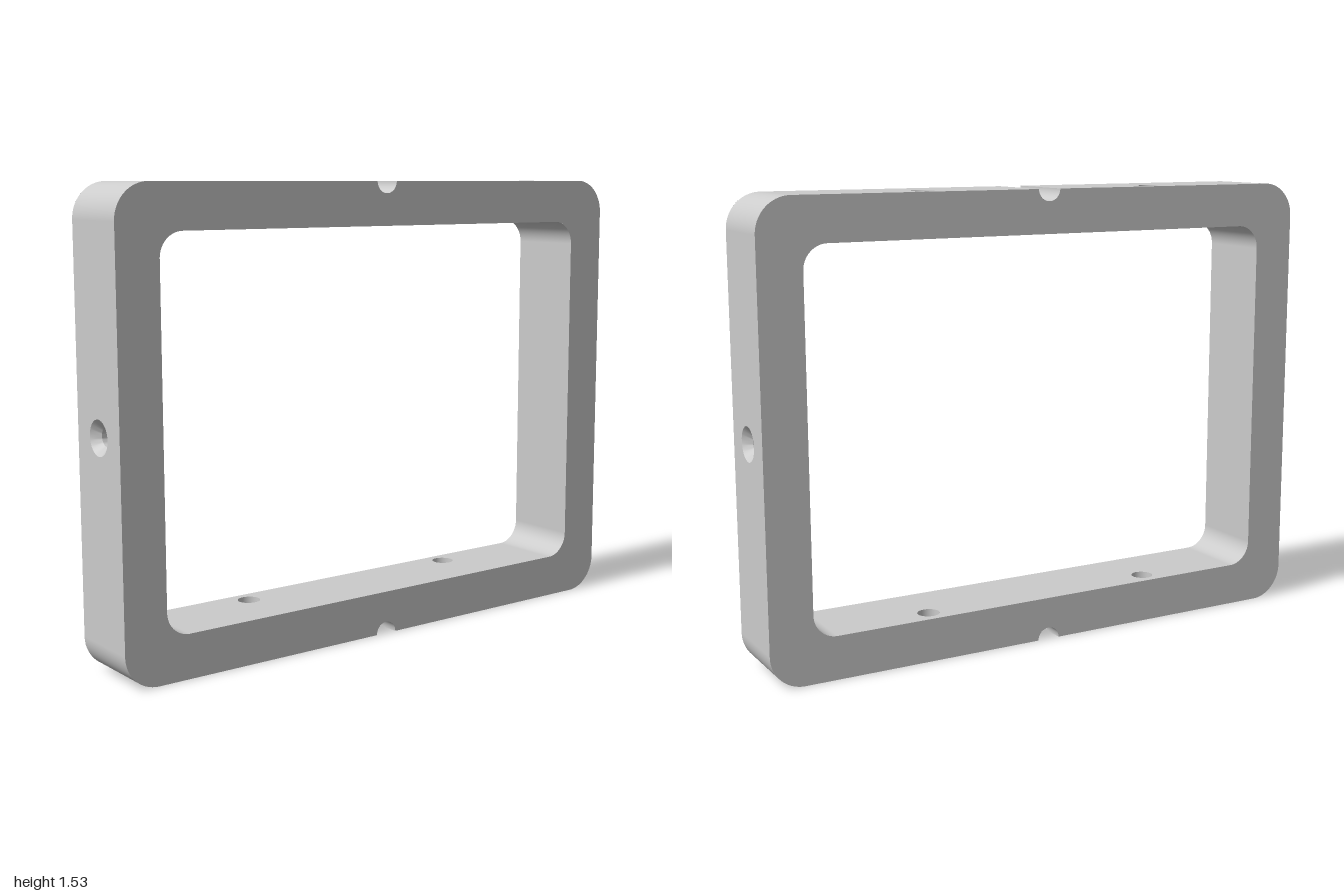
import * as THREE from 'three';
import { toCreasedNormals } from 'three/addons/utils/BufferGeometryUtils.js';

const H = 1.53, D = 0.265, CY = H / 2;            // frame height, depth, mid height
const OUT = { x: 1, y: H / 2, r: 0.115 };         // outer half sizes and corner radius
const INN = { x: 0.853, y: 0.619, r: 0.08 };      // opening half sizes and corner radius
const NOTCH = 0.04;                               // notch radius
const PIN = { x: 0.425, z: -0.07, r: 0.0375 };    // vertical through holes
const SINK = { r: 0.057, core: 0.03, cone: 0.027, depth: 0.1 }; // side countersinks
const Q = Math.PI / 2;

const mat = new THREE.MeshStandardMaterial({ color: 0xcccccc, side: THREE.DoubleSide });

export function createModel() {
  const model = new THREE.Group();
  const body = new THREE.Group();
  body.name = 'frame';
  body.position.y = CY;
  model.add(body);

  const add = (name, geometry, x = 0, y = 0, z = 0) => {
    const mesh = new THREE.Mesh(geometry, mat);
    mesh.name = name;
    mesh.position.set(x, y, z);
    body.add(mesh);
    return mesh;
  };

  // Rounded rectangle outline, optionally with half-round notches top and bottom
  const outline = (target, { x, y, r }, notched) => {
    target.moveTo(-x + r, -y);
    if (notched) target.absarc(0, -y, NOTCH, Math.PI, 0, true);
    target.absarc(x - r, -y + r, r, -Q, 0, false);
    target.absarc(x - r, y - r, r, 0, Q, false);
    if (notched) target.absarc(0, y, NOTCH, 0, -Math.PI, true);
    target.absarc(-x + r, y - r, r, Q, 2 * Q, false);
    target.absarc(-x + r, -y + r, r, 2 * Q, 3 * Q, false);
    target.closePath();
    return target;
  };

  // Flat wall between x0 and x1 (local), with round holes [x, y, r]
  const panel = (x0, x1, h, holes) => {
    const s = new THREE.Shape();
    s.moveTo(x0, -h / 2).lineTo(x1, -h / 2).lineTo(x1, h / 2).lineTo(x0, h / 2).closePath();
    for (const [x, y, r] of holes) {
      s.holes.push(new THREE.Path().absarc(x, y, r, 0, Math.PI * 2, true));
    }
    return new THREE.ShapeGeometry(s, 16);
  };

  // Curved wall running front to back, starting at angle a
  const curvedWall = (r, a, sweep) =>
    new THREE.CylinderGeometry(r, r, D, 24, 1, true, a + Q, sweep).rotateX(Q);

  // Front and back faces
  const face = outline(new THREE.Shape(), OUT, true);
  face.holes.push(outline(new THREE.Path(), INN, false));
  add('frontFace', new THREE.ShapeGeometry(face, 24), 0, 0, D / 2);
  add('backFace', new THREE.ShapeGeometry(face, 24).rotateY(Math.PI), 0, 0, -D / 2);

  // Rounded corners, outside and inside
  for (const [name, { x, y, r }] of [['outerCorner', OUT], ['innerCorner', INN]]) {
    [[1, 1], [-1, 1], [-1, -1], [1, -1]].forEach(([sx, sy], i) =>
      add(name, curvedWall(r, i * Q, Q), sx * (x - r), sy * (y - r)));
  }

  // Top and bottom bars: walls, notch and through holes
  const ex = OUT.x - OUT.r, ix = INN.x - INN.r;
  for (const s of [1, -1]) {
    const bar = s > 0 ? 'top' : 'bottom';
    const hole = (x, dir) => [x, -dir * PIN.z, PIN.r];
    add(bar + 'WallLeft', panel(NOTCH, ex, D, [hole(PIN.x, s)]).rotateX(-s * Q), 0, s * OUT.y);
    add(bar + 'WallRight', panel(-ex, -NOTCH, D, [hole(-PIN.x, s)]).rotateX(-s * Q), 0, s * OUT.y);
    add(bar + 'InnerWall', panel(-ix, ix, D, [hole(PIN.x, -s), hole(-PIN.x, -s)]).rotateX(s * Q), 0, s * INN.y);
    add(bar + 'Notch', curvedWall(NOTCH, s > 0 ? Math.PI : 0, Math.PI), 0, s * OUT.y);
    for (const x of [PIN.x, -PIN.x]) {
      add(bar + 'ThroughHole',
        new THREE.CylinderGeometry(PIN.r, PIN.r, OUT.y - INN.y, 32, 1, true),
        x, s * (OUT.y + INN.y) / 2, PIN.z);
    }
  }

  // Side bars: walls and blind countersunk holes
  const ey = OUT.y - OUT.r, iy = INN.y - INN.r;
  const profile = [[0, -SINK.depth], [SINK.core, -SINK.depth], [SINK.core, -SINK.cone], [SINK.r, 0]]
    .map(([x, y]) => new THREE.Vector2(x, y));
  for (const s of [1, -1]) {
    const side = s > 0 ? 'left' : 'right';
    add(side + 'Wall', panel(-D / 2, D / 2, 2 * ey, [[0, 0, SINK.r]]).rotateY(s * Q), s * OUT.x);
    add(side + 'InnerWall', panel(-D / 2, D / 2, 2 * iy, []).rotateY(-s * Q), s * INN.x);
    const sink = toCreasedNormals(new THREE.LatheGeometry(profile, 32), 0.5).rotateZ(-s * Q);
    add(side + 'Countersink', sink, s * OUT.x);
  }

  return model;
}
